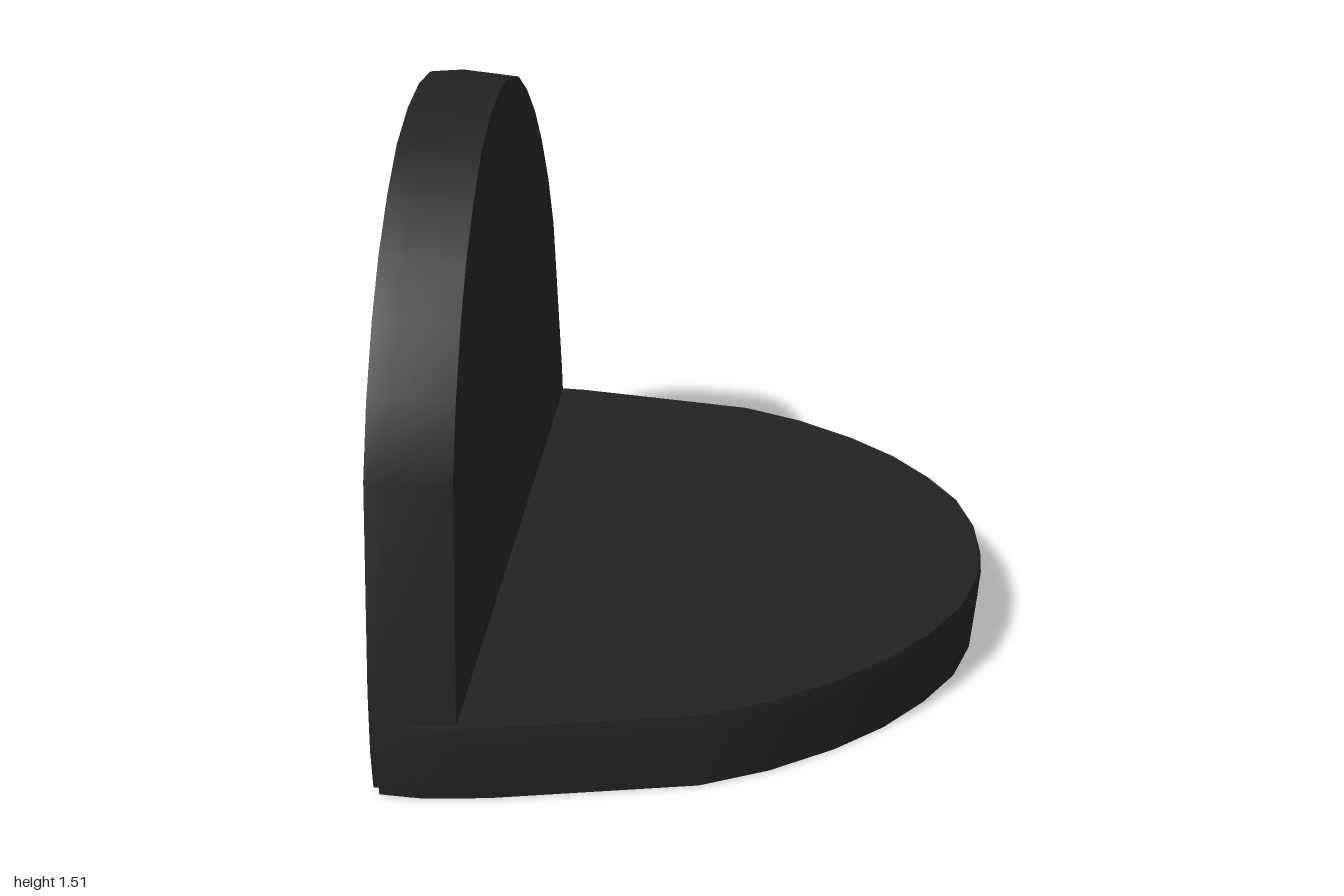
import * as THREE from 'three';

// Half outline of a plate: [distance from the hinge edge, half width]
const HALF = [
  [0, 0.99], [0.11, 1.0], [0.27, 0.986], [0.785, 0.89], [0.955, 0.81], [1.115, 0.7], [1.24, 0.585],
  [1.345, 0.45], [1.425, 0.31], [1.47, 0.155], [1.485, 0],
];
const OUTLINE = [...HALF, ...HALF.slice(0, -1).reverse().map(([s, w]) => [s, -w])];

// Depth levels through the thickness: [y, length scale, width scale]
const LEVELS = [[0, 0.997, 0.995], [-0.06, 1, 1], [-0.21, 0.99, 0.98]];

function geometryFrom(positions, index) {
  const g = new THREE.BufferGeometry();
  g.setAttribute('position', new THREE.Float32BufferAttribute(positions.flat(), 3));
  g.setIndex(index);
  g.computeVertexNormals();
  return g;
}

// Wall through all levels along a run of outline points
function wall(points) {
  const n = points.length;
  const positions = LEVELS.flatMap(([y, ks, kw]) => points.map(([s, w]) => [s * ks, y, w * kw]));
  const index = [];
  for (let l = 0; l < LEVELS.length - 1; l++) {
    for (let i = 0; i < n - 1; i++) {
      const u = l * n + i, d = u + n;
      index.push(d, d + 1, u, d + 1, u + 1, u);
    }
  }
  return geometryFrom(positions, index);
}

// Flat face closing one level
function cap([y, ks, kw], up) {
  const n = OUTLINE.length;
  const positions = [[0.6, y, 0], ...OUTLINE.map(([s, w]) => [s * ks, y, w * kw])];
  const index = [];
  for (let i = 0; i < n; i++) {
    const a = 1 + i, b = 1 + (i + 1) % n;
    index.push(0, up ? a : b, up ? b : a);
  }
  return geometryFrom(positions, index);
}

function plate(name, material) {
  const group = new THREE.Group();
  group.name = name;
  const parts = {
    Rim: wall(OUTLINE),
    HingeEdge: wall([OUTLINE[OUTLINE.length - 1], OUTLINE[0]]),
    UpperFace: cap(LEVELS[0], true),
    LowerFace: cap(LEVELS[2], false),
  };
  for (const [part, geometry] of Object.entries(parts)) {
    const mesh = new THREE.Mesh(geometry, material);
    mesh.name = name + part;
    group.add(mesh);
  }
  return group;
}

export function createModel() {
  const model = new THREE.Group();
  model.name = 'roundedBracket';
  const black = new THREE.MeshStandardMaterial({ color: 0x222222 });
  black.name = 'matte black';

  // Horizontal plate
  const base = plate('basePlate', black);
  base.position.set(-0.74, 0.21, 0);

  // Same plate stood upright
  const upright = plate('uprightPlate', black);
  upright.rotation.z = Math.PI / 2;
  upright.position.set(-0.75, 0.03, 0);

  model.add(base, upright);
  return model;
}
